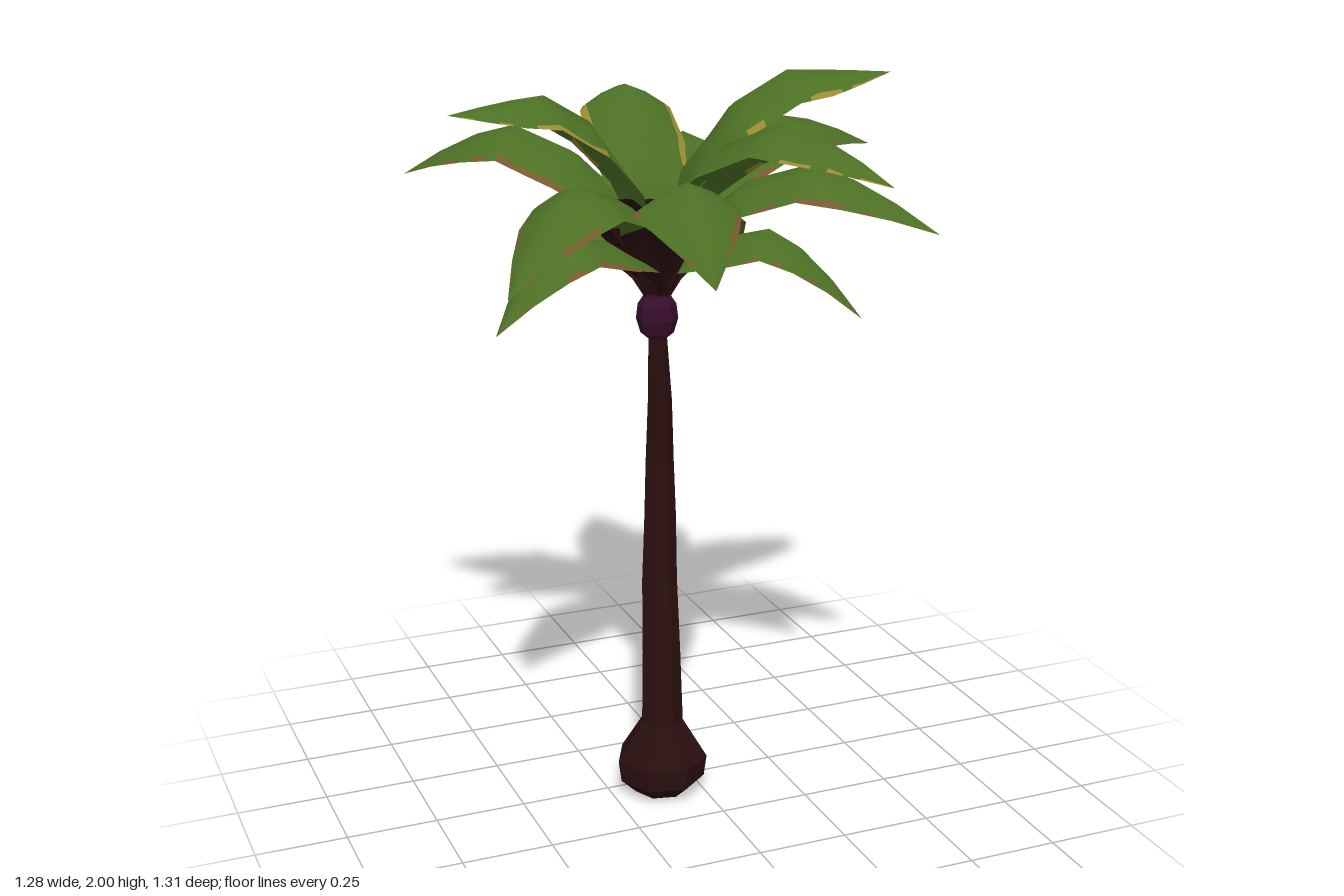
import * as THREE from 'three';

const mat = (name, color, side = THREE.FrontSide) => {
  const m = new THREE.MeshStandardMaterial({ color, side });
  m.name = name;
  return m;
};

// Linear interpolation through [position, value] knots
function lerpKnots(knots, s) {
  for (let i = 1; i < knots.length; i++) {
    const [s0, v0] = knots[i - 1], [s1, v1] = knots[i];
    if (s <= s1) return v0 + (v1 - v0) * (s - s0) / (s1 - s0);
  }
  return knots[knots.length - 1][1];
}

// Faceted tube through rings of [x, y, z, radius]
function loft(name, rings, sides, material) {
  const pos = [], idx = [];
  for (const [x, y, z, r] of rings) {
    for (let j = 0; j < sides; j++) {
      const a = (j + 0.5) / sides * Math.PI * 2;
      pos.push(x + r * Math.cos(a), y, z + r * Math.sin(a));
    }
  }
  for (let i = 0; i < rings.length - 1; i++) {
    for (let j = 0; j < sides; j++) {
      const k = (j + 1) % sides;
      const a = i * sides + j, b = a + sides, c = (i + 1) * sides + k, d = i * sides + k;
      idx.push(a, b, c, a, c, d);
    }
  }
  let g = new THREE.BufferGeometry();
  g.setAttribute('position', new THREE.Float32BufferAttribute(pos, 3));
  g.setIndex(idx);
  g = g.toNonIndexed();
  g.computeVertexNormals();
  const mesh = new THREE.Mesh(g, material);
  mesh.name = name;
  return mesh;
}

// Shared frond profiles along the horizontal run (0 = crown, 1 = tip)
const KNOTS = [0, 0.06, 0.15, 0.33, 0.55, 0.7, 0.85, 1];
const RISE = [[0, 0], [0.06, 0.3], [0.15, 0.6], [0.33, 0.87], [0.55, 1]];
const DROP = [[0.55, 0], [0.7, 0.2], [0.85, 0.55], [1, 1]];
const WIDTH = [[0, 0.03], [0.06, 0.065], [0.15, 0.115], [0.33, 0.137],
  [0.55, 0.132], [0.7, 0.105], [0.85, 0.057], [1, 0.001]];
const CROWN = [-0.073, 1.39, -0.05];
const SUB = 3;

// Arched frond; margin quads get dry patches, the inner end is a brown stalk
function frond(name, [tx, ty, tz], peak, scale, stalkEnd, seed, materials) {
  let state = seed * 7919 + 17;
  const rand = () => (state = (state * 16807) % 2147483647) / 2147483647;
  rand(); rand();
  const [cx, cy, cz] = CROWN;
  const dx = tx - cx, dz = tz - cz, run = Math.hypot(dx, dz);
  const sx = dz / run, sz = -dx / run;

  const stations = [0];
  for (let i = 1; i < KNOTS.length; i++)
    for (let k = 1; k <= SUB; k++)
      stations.push(KNOTS[i - 1] + (KNOTS[i] - KNOTS[i - 1]) * k / SUB);

  const pos = [], cols = 7;
  for (const s of stations) {
    const w = lerpKnots(WIDTH, s) * scale;
    const y = s <= 0.55 ? cy + (peak - cy) * lerpKnots(RISE, s)
      : peak + (ty - peak) * lerpKnots(DROP, s);
    const inL = 0.82 + 0.12 * rand(), inR = 0.82 + 0.12 * rand();
    for (const u of [-1, -inL, -0.45, 0, 0.45, inR, 1]) {
      const sag = 0.55 * w * Math.pow(Math.abs(u), 1.4) * Math.min(1, s * 3);
      pos.push(cx + dx * s + sx * w * u, y - sag, cz + dz * s + sz * w * u);
    }
  }

  // Sort quads by colour: 0 leaf, 1 dry patch, 2 stalk
  const faces = [[], [], []];
  const patch = [false, false];
  for (let i = 0; i < stations.length - 1; i++) {
    const s = stations[i];
    patch[0] = rand() < (patch[0] ? 0.6 : 0.4);
    patch[1] = rand() < (patch[1] ? 0.6 : 0.4);
    for (let j = 0; j < cols - 1; j++) {
      const margin = (j === 0 && patch[0]) || (j === cols - 2 && patch[1]);
      const slot = s < stalkEnd ? 2 : margin && s > 0.2 ? 1 : 0;
      const a = i * cols + j, b = a + cols;
      faces[slot].push(a, b, b + 1, a, b + 1, a + 1);
    }
  }
  const g = new THREE.BufferGeometry();
  g.setAttribute('position', new THREE.Float32BufferAttribute(pos, 3));
  g.setIndex(faces.flat());
  let start = 0;
  faces.forEach((f, m) => { g.addGroup(start, f.length, m); start += f.length; });
  g.computeVertexNormals();
  const mesh = new THREE.Mesh(g, materials);
  mesh.name = name;
  return mesh;
}

export function createModel() {
  const bark = mat('bark', 0x2a0f0f);
  const stalk = mat('stalk', 0x260c0d, THREE.DoubleSide);
  const bud = mat('purpleBud', 0x380e2c);
  const leaf = mat('leafGreen', 0x4c7024, THREE.DoubleSide);
  const yellow = mat('yellowEdge', 0x9a8a32, THREE.DoubleSide);
  const brown = mat('dryEdge', 0x77592f, THREE.DoubleSide);

  const model = new THREE.Group();
  model.name = 'palmTree';

  // Swollen root, leaning trunk, bud and stalk core
  model.add(loft('rootBulb', [
    [-0.11, 0.003, 0.055, 0.001], [-0.11, 0.006, 0.055, 0.075], [-0.11, 0.05, 0.06, 0.12],
    [-0.11, 0.11, 0.06, 0.128], [-0.11, 0.225, 0.065, 0.058],
  ], 7, bark));
  model.add(loft('trunk', [
    [-0.11, 0.18, 0.066, 0.06], [-0.1, 0.42, 0.035, 0.054], [-0.092, 0.62, 0.003, 0.05],
    [-0.077, 0.8, -0.028, 0.045], [-0.072, 0.95, -0.042, 0.04], [-0.068, 1.12, -0.048, 0.034],
    [-0.073, 1.32, -0.05, 0.025],
  ], 7, bark));
  model.add(loft('bud', [
    [-0.073, 1.29, -0.05, 0.02], [-0.073, 1.31, -0.05, 0.045], [-0.073, 1.35, -0.05, 0.057],
    [-0.073, 1.39, -0.05, 0.052], [-0.073, 1.42, -0.05, 0.032], [-0.073, 1.5, -0.05, 0.02],
  ], 8, bud));
  model.add(loft('stalkCore', [
    [-0.073, 1.41, -0.05, 0.03], [-0.073, 1.52, -0.05, 0.06], [-0.073, 1.62, -0.05, 0.085],
    [-0.073, 1.63, -0.05, 0.001],
  ], 8, stalk));

  // Fronds by tier: [tip, peak height]
  const tiers = [
    { name: 'topFrond', edge: yellow, scale: 0.97, stalkEnd: 0.11, list: [
      [[-0.64, 1.93, -0.025], 1.965], [[0.565, 1.985, 0.035], 2.0],
      [[0, 1.84, -0.66], 1.93], [[0.265, 1.8, 0.64], 1.92]] },
    { name: 'middleFrond', edge: brown, scale: 1.03, stalkEnd: 0.14, list: [
      [[-0.63, 1.7, -0.52], 1.85], [[0.31, 1.62, -0.65], 1.79],
      [[0.635, 1.75, -0.215], 1.86], [[0.5, 1.63, 0.45], 1.79],
      [[-0.2, 1.595, 0.65], 1.79], [[-0.615, 1.545, 0.36], 1.77]] },
    { name: 'lowerFrond', edge: brown, scale: 0.85, stalkEnd: 0.14, list: [
      [[-0.59, 1.405, 0.17], 1.62], [[0.37, 1.385, 0.285], 1.61],
      [[0.375, 1.41, -0.52], 1.62], [[-0.25, 1.46, -0.63], 1.64]] },
  ];
  let seed = 1;
  const crown = new THREE.Group();
  crown.name = 'crown';
  for (const t of tiers)
    t.list.forEach(([tip, peak], i) => crown.add(frond(
      t.name + (i + 1), tip, peak, t.scale, t.stalkEnd, seed++, [leaf, t.edge, stalk])));
  model.add(crown);
  return model;
}
